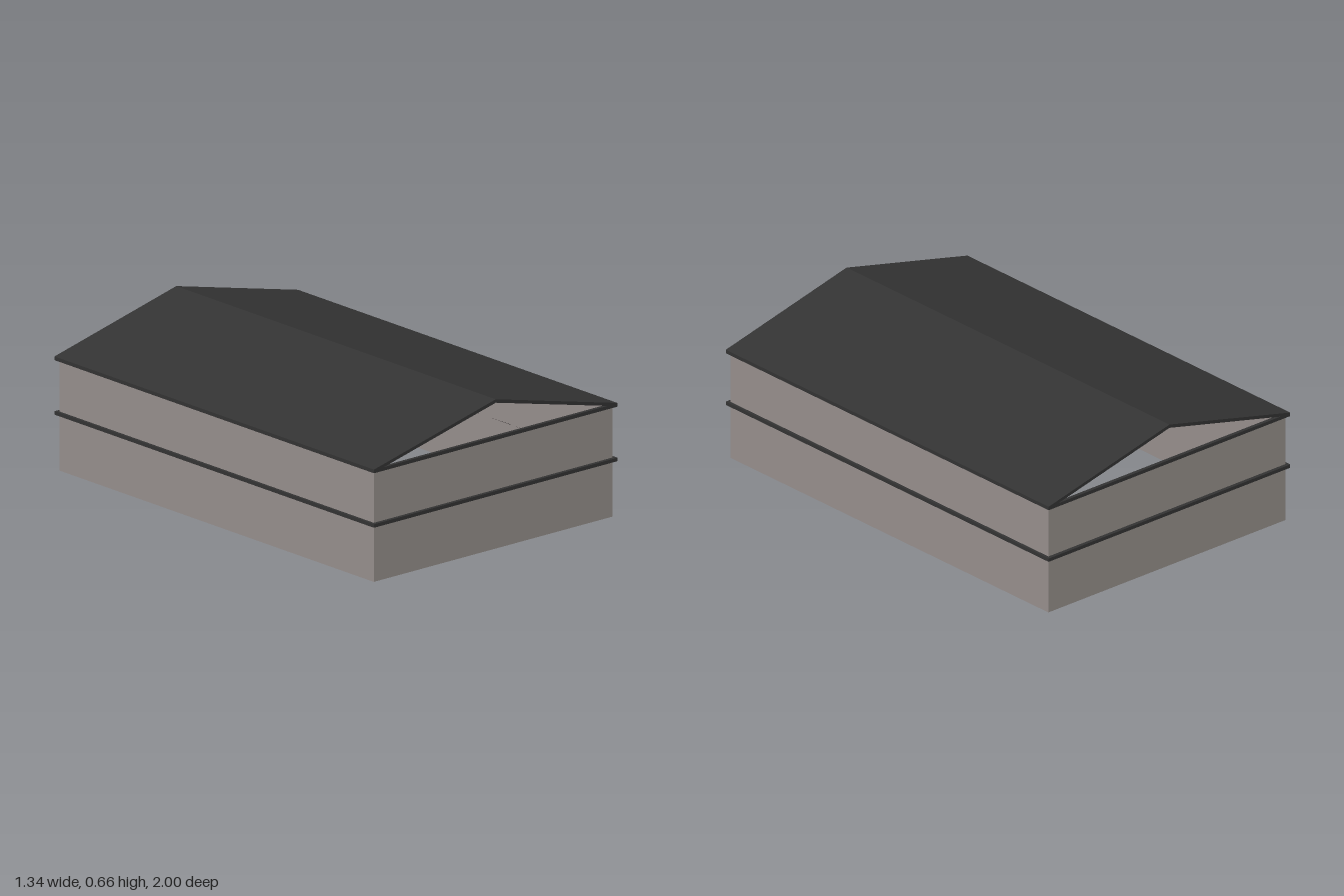
import * as THREE from 'three';

const WALL_X = 0.657, WALL_Z = 0.984; // half extents of the walls
const EDGE_X = 0.67, EDGE_Z = 1;      // half extents of trim and roof
const WALL_H = 0.487;

function mat(name, color, side = THREE.FrontSide) {
  const m = new THREE.MeshStandardMaterial({ color, side });
  m.name = name;
  return m;
}

function rect(path, x, z) {
  path.moveTo(-x, -z);
  path.lineTo(x, -z);
  path.lineTo(x, z);
  path.lineTo(-x, z);
  path.closePath();
  return path;
}

export function createModel() {
  const group = new THREE.Group();
  group.name = 'building';
  const endWall = mat('warm grey', 0x96908b, THREE.DoubleSide);
  const sideWall = mat('rose grey', 0x968e8c, THREE.DoubleSide);
  const dark = mat('charcoal', 0x333333);

  const add = (name, geometry, material) => {
    const mesh = new THREE.Mesh(geometry, material);
    mesh.name = name;
    group.add(mesh);
    return mesh;
  };

  // Four thin walls around an open interior
  for (const s of [1, -1]) {
    const end = add(s > 0 ? 'frontWall' : 'backWall', new THREE.PlaneGeometry(2 * WALL_X, WALL_H), endWall);
    end.position.set(0, WALL_H / 2, s * WALL_Z);
    if (s < 0) end.rotation.y = Math.PI;

    const side = add(s > 0 ? 'leftWall' : 'rightWall', new THREE.PlaneGeometry(2 * WALL_Z, WALL_H), sideWall);
    side.position.set(s * WALL_X, WALL_H / 2, 0);
    side.rotation.y = s * Math.PI / 2;
  }

  // Trim rings at floor and eaves level
  const ring = rect(new THREE.Shape(), EDGE_X, EDGE_Z);
  ring.holes.push(rect(new THREE.Path(), WALL_X, WALL_Z));
  const ringGeometry = new THREE.ExtrudeGeometry(ring, { depth: 0.015, bevelEnabled: false });
  ringGeometry.rotateX(-Math.PI / 2);
  add('floorTrim', ringGeometry, dark).position.y = 0.242;
  add('eavesTrim', ringGeometry, dark).position.y = 0.479;

  // Thin gable roof with open ends
  const roof = new THREE.Shape();
  roof.moveTo(-EDGE_X, 0.481);
  roof.lineTo(0, 0.641);
  roof.lineTo(EDGE_X, 0.481);
  roof.lineTo(EDGE_X, 0.495);
  roof.lineTo(0, 0.656);
  roof.lineTo(-EDGE_X, 0.495);
  roof.closePath();
  const roofGeometry = new THREE.ExtrudeGeometry(roof, { depth: 2 * EDGE_Z, bevelEnabled: false });
  add('roof', roofGeometry, dark).position.z = -EDGE_Z;

  return group;
}
